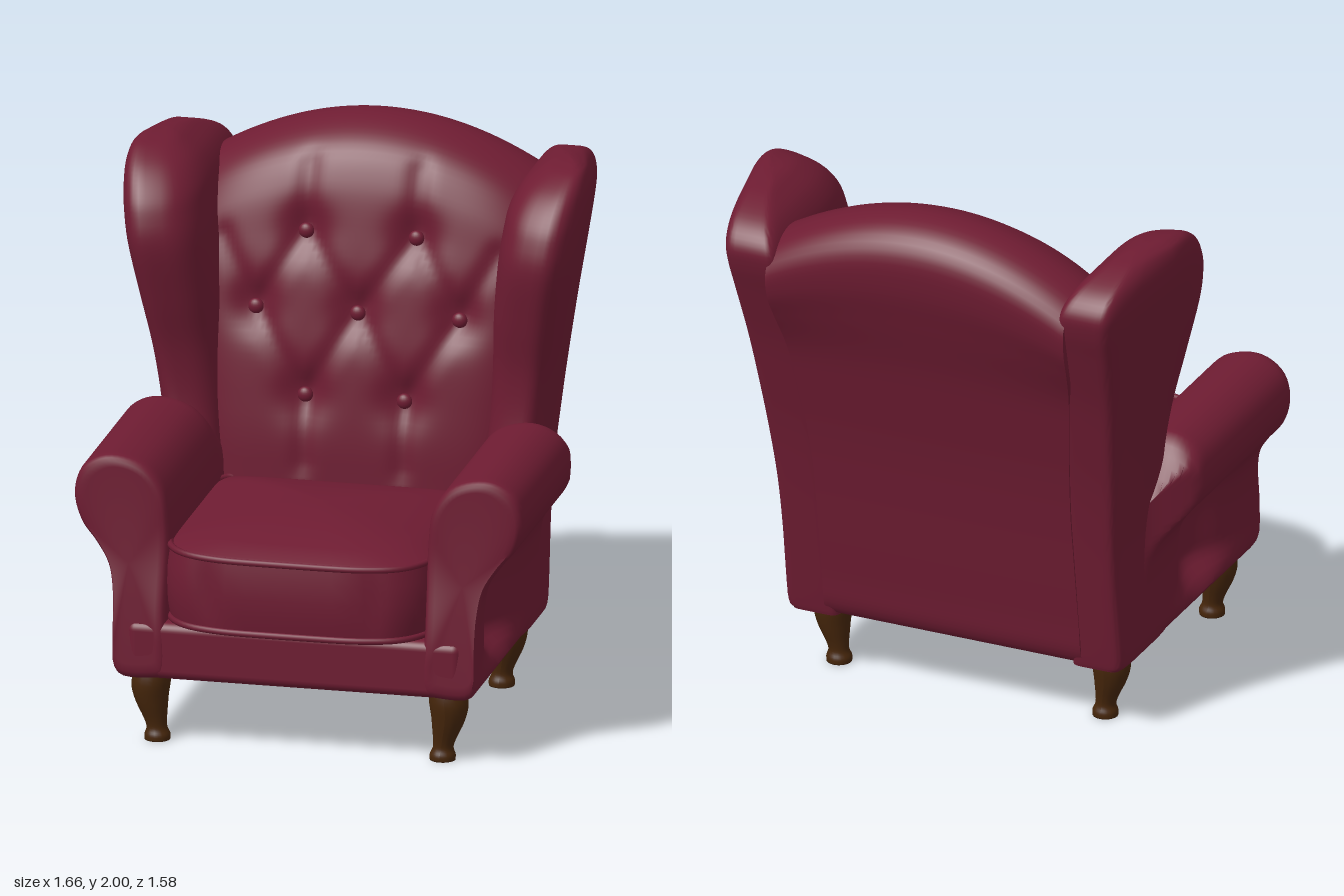
import * as THREE from 'three';
import { mergeVertices, toCreasedNormals } from 'three/addons/utils/BufferGeometryUtils.js';
import { RoundedBoxGeometry } from 'three/addons/geometries/RoundedBoxGeometry.js';

const { smoothstep, lerp } = THREE.MathUtils;
const V = (x, y, z) => new THREE.Vector3(x, y, z);
const spow = (v, e) => Math.sign(v) * Math.pow(Math.abs(v), e);
const gauss = (d, w) => Math.exp(-(d * d) / (w * w));

// Skin a list of closed rings, cap both ends and make the faces point outward
function loft(rings, crease = 0.8) {
  const n = rings[0].length, pos = [], idx = [];
  rings.forEach(r => r.forEach(p => pos.push(p.x, p.y, p.z)));
  for (let i = 0; i < rings.length - 1; i++) {
    for (let j = 0; j < n; j++) {
      const a = i * n + j, b = i * n + (j + 1) % n;
      idx.push(a, b, b + n, a, b + n, a + n);
    }
  }
  [0, rings.length - 1].forEach((i, end) => {
    const c = rings[i].reduce((s, p) => s.add(p), V(0, 0, 0)).divideScalar(n);
    const k = pos.push(c.x, c.y, c.z) / 3 - 1;
    for (let j = 0; j < n; j++) {
      const a = i * n + j, b = i * n + (j + 1) % n;
      idx.push(k, end ? a : b, end ? b : a);
    }
  });
  const at = i => V(pos[3 * i], pos[3 * i + 1], pos[3 * i + 2]);
  let volume = 0;
  for (let i = 0; i < idx.length; i += 3) volume += at(idx[i]).dot(at(idx[i + 1]).cross(at(idx[i + 2])));
  if (volume < 0) idx.reverse();
  const g = new THREE.BufferGeometry();
  g.setAttribute('position', new THREE.Float32BufferAttribute(pos, 3));
  g.setIndex(idx);
  return toCreasedNormals(mergeVertices(g), crease);
}

// Smoothly resample a table of rows
function resample(rows, steps) {
  const w = rows[0].length;
  const f = new THREE.CubicInterpolant(rows.map((_, i) => i), rows.flat(), w, new Float32Array(w));
  const out = [];
  for (let i = 0; i <= steps; i++) out.push(Array.from(f.evaluate((i / steps) * (rows.length - 1) * 0.99999)));
  return out;
}

// Tufting: buttons are [x, y, z], creases join them in diamonds
const BUTTONS = [[-0.2, 1.62, -0.335], [0.2, 1.62, -0.335], [-0.37, 1.345, -0.28], [0, 1.345, -0.28],
  [0.37, 1.345, -0.28], [-0.18, 1.045, -0.235], [0.18, 1.045, -0.235]];
const CREASES = [[0.2, 1.62, 0.37, 1.345], [0.2, 1.62, 0, 1.345], [0.37, 1.345, 0.18, 1.045],
  [0, 1.345, 0.18, 1.045], [0.2, 1.62, 0.2, 1.85], [0.37, 1.345, 0.5, 1.58], [0.18, 1.045, 0.18, 0.8]];

function tuft(x, y) {
  let dent = 0, fold = 0;
  for (const [bx, by] of BUTTONS) dent = Math.max(dent, gauss(Math.hypot(x - bx, y - by), 0.085));
  const ax = Math.abs(x);
  for (const [x0, y0, x1, y1] of CREASES) {
    const dx = x1 - x0, dy = y1 - y0;
    const t = THREE.MathUtils.clamp(((ax - x0) * dx + (y - y0) * dy) / (dx * dx + dy * dy), 0, 1);
    fold = Math.max(fold, gauss(Math.hypot(ax - x0 - t * dx, y - y0 - t * dy), 0.04));
  }
  return 0.04 * dent + 0.014 * fold;
}

// Padded backrest: side profile swept across x, arched at the top
function backrestGeometry() {
  const profile = new THREE.CatmullRomCurve3([[-0.2, 0.3], [-0.18, 0.8], [-0.2, 1.05], [-0.245, 1.35],
    [-0.3, 1.62], [-0.35, 1.8], [-0.42, 1.92], [-0.52, 1.98], [-0.62, 2], [-0.73, 1.965], [-0.785, 1.89],
    [-0.782, 1.76], [-0.738, 1.6], [-0.673, 1.4], [-0.623, 1.2], [-0.578, 1], [-0.543, 0.8], [-0.513, 0.6],
    [-0.485, 0.42], [-0.467, 0.3], [-0.44, 0.26], [-0.25, 0.26]].map(([z, y]) => V(0, y, z)), true)
    .getSpacedPoints(150).slice(0, -1);
  const rings = [];
  for (let i = 0; i <= 64; i++) {
    const u = i / 32 - 1;
    rings.push(profile.map(p => {
      const x = u * lerp(0.5, 0.58, smoothstep(p.y, 0.8, 1.85));
      const y = p.y - 0.17 * u * u * smoothstep(p.y, 1.3, 2);
      const mid = -0.3 - 0.2 * smoothstep(p.y, 0.3, 1.9);
      const front = smoothstep(p.z, mid - 0.05, mid + 0.08);
      return V(x, y, p.z - front * (tuft(x, y) + 0.03 * Math.pow(Math.abs(u), 6)));
    }));
  }
  return loft(rings);
}

// Wing: rows of [y, back z, front z, inner x, outer x]
function wingGeometry(s) {
  const rows = resample([[0.25, -0.455, 0, 0.45, 0.64], [0.3, -0.465, 0, 0.45, 0.66], [0.6, -0.51, 0, 0.46, 0.66],
    [0.8, -0.54, -0.08, 0.47, 0.67], [1, -0.575, -0.13, 0.48, 0.7], [1.2, -0.62, -0.125, 0.49, 0.735],
    [1.4, -0.67, -0.075, 0.5, 0.775], [1.6, -0.735, -0.03, 0.52, 0.815], [1.72, -0.775, -0.045, 0.535, 0.835],
    [1.8, -0.78, -0.085, 0.55, 0.845], [1.87, -0.72, -0.15, 0.59, 0.845], [1.92, -0.6, -0.235, 0.65, 0.83],
    [1.94, -0.49, -0.31, 0.69, 0.8], [1.947, -0.42, -0.37, 0.73, 0.77]], 64);
  return loft(rows.map(([y, zb, zf, xi, xo]) => {
    const ring = [], lean = Math.max(0, xo - 0.66) * 0.5;
    for (let j = 0; j < 48; j++) {
      const a = ((j + 0.5) / 48) * Math.PI * 2, c = Math.cos(a), d = Math.sin(a), e = d > 0 ? 0.65 : 0.25;
      const fx = spow(c, e), fz = spow(d, e);
      const x = (xi + xo) / 2 + fx * (xo - xi) / 2 - lean * Math.pow(0.5 - fz / 2, 1.7) * (0.5 + fx / 2);
      const z = (zb + zf) / 2 + fz * (zf - zb) / 2 + 0.04 * fx * Math.max(0, fz);
      ring.push(V(s * x, y, z));
    }
    return ring;
  }));
}

// Scrolled arm: front outline swept backward, hollowed under the roll, tapering into the wing
function armGeometry(s) {
  const outline = new THREE.CatmullRomCurve3([[0.47, 0.26], [0.47, 0.5], [0.47, 0.8], [0.49, 0.93], [0.55, 1.01],
    [0.64, 1.045], [0.72, 1.04], [0.79, 0.99], [0.815, 0.9], [0.79, 0.8], [0.735, 0.73], [0.685, 0.65],
    [0.665, 0.55], [0.66, 0.4], [0.655, 0.28], [0.63, 0.25], [0.5, 0.25]].map(([x, y]) => V(x, y, 0)), true)
    .getSpacedPoints(90).slice(0, -1);
  const rings = [[0.64, 0.12], [0.64, 0.06], [0.632, 0.025], [0.615, 0.005]];
  for (let i = 0; i <= 36; i++) rings.push([lerp(0.59, -0.31, i / 36), 0]);
  return loft(rings.map(([z, inset]) => outline.map(p => {
    const t = smoothstep(z, -0.33, -0.08);
    let x = lerp(p.x, 0.62, inset * 2), y = lerp(p.y, 0.72, inset);
    if (y > 0.8) y = lerp(0.8, y, t);
    const low = smoothstep(y, 0.27, 0.38) * (1 - smoothstep(y, 0.6, 0.76)) * smoothstep(x, 0.55, 0.62);
    x -= 0.1 * low * gauss(z - 0.25, 0.17);
    x = Math.min(x, lerp(0.64, 0.83, t));
    return V(s * x, y, z + 0.06 * (1 - smoothstep(y, 0.38, 0.8)) * smoothstep(z, 0.4, 0.6));
  })));
}

// Seat cushion outline at a height, drawn in by an inset; square at the back, rounded at the front
function cushionRing(y, inset) {
  const ring = [], hx = 0.492 - inset, hz = 0.5 - inset;
  for (let j = 0; j < 96; j++) {
    const a = ((j + 0.5) / 96) * Math.PI * 2, e = Math.sin(a) > 0 ? 0.33 : 0.18;
    const fx = spow(Math.cos(a), e), fz = spow(Math.sin(a), e);
    const front = Math.max(0, fz);
    const pucker = 0.018 * gauss(Math.abs(fx * hx) - 0.3, 0.05) * gauss(y - 0.6, 0.09);
    ring.push(V(fx * hx, y, 0.28 + fz * hz - front * (0.08 * Math.pow(Math.abs(fx), 4) + pucker)));
  }
  return ring;
}

function legGeometry() {
  const pts = resample([[0.062, 0.27], [0.07, 0.21], [0.058, 0.14], [0.042, 0.08], [0.037, 0.045], [0.046, 0.02],
    [0.046, 0]], 24).map(([r, y]) => new THREE.Vector2(r, Math.max(0, y)));
  const g = new THREE.LatheGeometry([...pts, new THREE.Vector2(0, 0)].reverse(), 20);
  const p = g.attributes.position;
  // cabriole curve: knee outward, ankle inward
  for (let i = 0; i < p.count; i++) p.setX(i, p.getX(i) + 0.012 * Math.sin((p.getY(i) - 0.1) * 18));
  g.computeVertexNormals();
  return g;
}

export function createModel() {
  const chair = new THREE.Group();
  chair.name = 'wingbackArmchair';
  const upholstery = new THREE.MeshStandardMaterial({ color: 0x6e1c32 });
  upholstery.name = 'burgundy upholstery';
  const wood = new THREE.MeshStandardMaterial({ color: 0x46260b });
  wood.name = 'dark wood';
  const add = (name, geometry, material, x = 0, y = 0, z = 0) => {
    const m = new THREE.Mesh(geometry, material);
    m.name = name;
    m.position.set(x, y, z);
    chair.add(m);
    return m;
  };

  // Base and front rail
  add('seatBase', new RoundedBoxGeometry(1.08, 0.23, 1.06, 4, 0.03), upholstery, 0, 0.368, 0.08);
  add('frontRail', new RoundedBoxGeometry(1.22, 0.21, 0.2, 5, 0.035), upholstery, 0, 0.353, 0.597);

  // Back with buttons
  add('backrest', backrestGeometry(), upholstery);
  for (const [x, y, z] of BUTTONS) {
    add('button', new THREE.SphereGeometry(0.028, 18, 12), upholstery, x, y, z).scale.z = 0.7;
  }

  // Cushion with piping along both edges
  const layers = [[0.46, 0.25], [0.46, 0.03], [0.475, 0.005], [0.53, -0.004], [0.6, -0.008], [0.67, -0.004],
    [0.725, 0.005], [0.742, 0.03], [0.77, 0.12], [0.795, 0.24], [0.812, 0.36], [0.818, 0.45]];
  add('seatCushion', loft(layers.map(l => cushionRing(...l))), upholstery);
  for (const y of [0.468, 0.732]) {
    const path = new THREE.CatmullRomCurve3(cushionRing(y, 0.005), true);
    add('cushionPiping', new THREE.TubeGeometry(path, 160, 0.012, 8, true), upholstery);
  }

  // Mirrored wings, arms and legs
  for (const s of [1, -1]) {
    const side = s > 0 ? 'left' : 'right';
    add(side + 'Wing', wingGeometry(s), upholstery);
    add(side + 'Arm', armGeometry(s), upholstery);
    for (const [end, z] of [['Front', 0.595], ['Back', -0.3]]) {
      add(side + end + 'Leg', legGeometry(), wood, s * 0.53, 0, z).rotation.y = s > 0 ? 0 : Math.PI;
    }
  }
  return chair;
}
